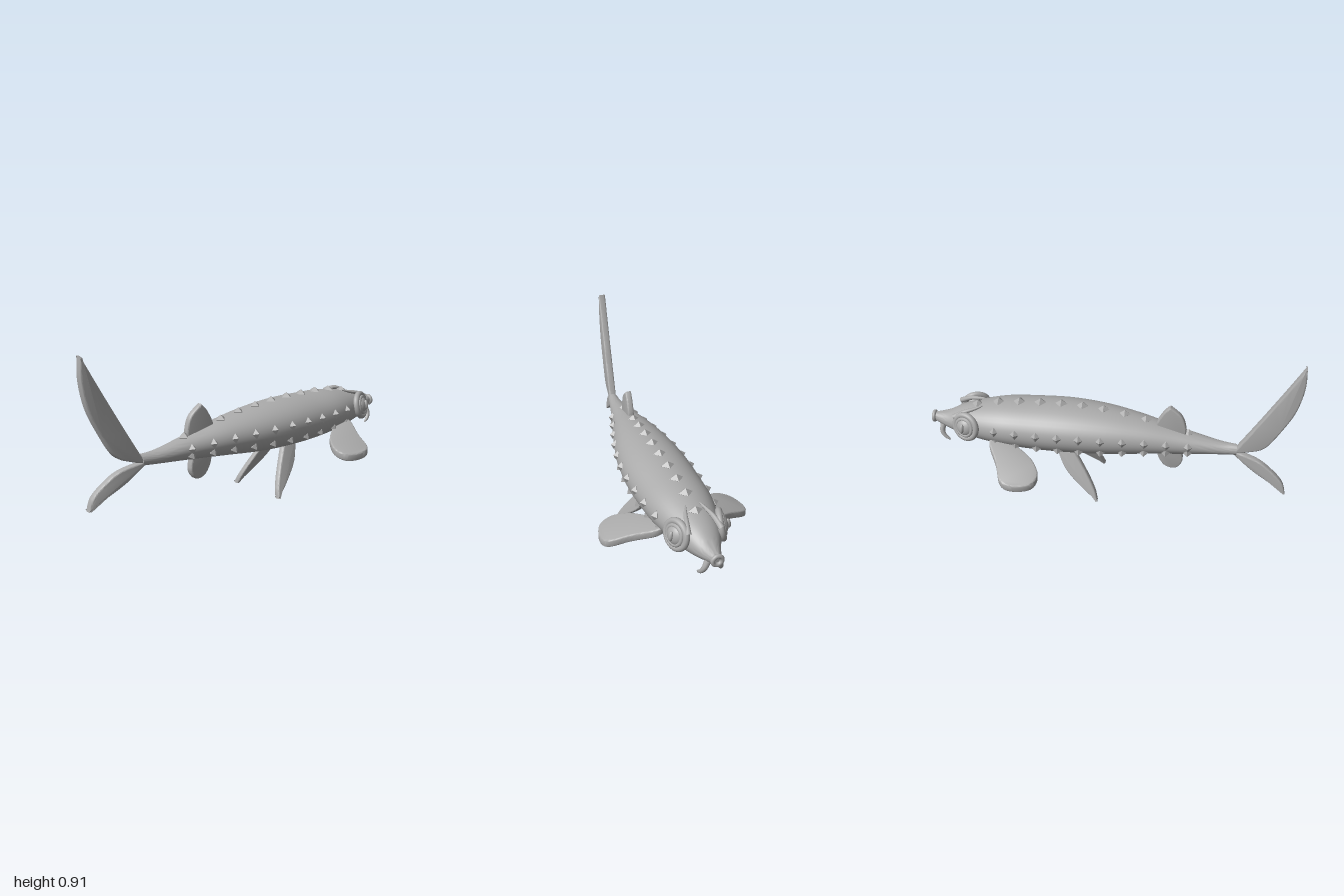
import * as THREE from 'three';
import { toCreasedNormals } from 'three/addons/utils/BufferGeometryUtils.js';

const grey = new THREE.MeshStandardMaterial({ color: 0xaaaaaa });
grey.name = 'grey skin';
const V = (x, y, z) => new THREE.Vector3(x, y, z);

// Body stations: z, centre x, half width, centre y, half height
const stations = [
  [-0.985, 0, 0.022, 0.368, 0.024], [-0.9, 0, 0.06, 0.36, 0.05],
  [-0.8, 0, 0.105, 0.37, 0.085], [-0.6, 0, 0.16, 0.38, 0.12],
  [-0.4, 0, 0.176, 0.38, 0.134], [-0.2, -0.003, 0.178, 0.382, 0.136],
  [0, -0.012, 0.16, 0.38, 0.125], [0.2, -0.027, 0.122, 0.375, 0.1],
  [0.4, -0.045, 0.078, 0.362, 0.068], [0.6, -0.06, 0.042, 0.35, 0.038],
  [0.7, -0.07, 0.028, 0.351, 0.03],
];
const widths = new THREE.CatmullRomCurve3(stations.map(s => V(s[0], s[1], s[2])), false, 'catmullrom');
const heights = new THREE.CatmullRomCurve3(stations.map(s => V(s[0], s[3], s[4])), false, 'catmullrom');

function section(t) {
  const w = widths.getPoint(t), h = heights.getPoint(t);
  return { z: w.x, cx: w.y, hw: w.z, cy: h.y, hh: h.z };
}
function sectionAt(z) {
  let a = 0, b = 1;
  for (let i = 0; i < 24; i++) {
    const m = (a + b) / 2;
    if (section(m).z < z) a = m; else b = m;
  }
  return section(a);
}

// Lofted body of elliptical rings, closed at both ends
function bodyGeometry() {
  const rings = 60, sides = 40, pos = [], index = [];
  for (let i = -1; i <= rings + 1; i++) {
    const s = section(THREE.MathUtils.clamp(i / rings, 0, 1));
    const k = i < 0 || i > rings ? 0 : 1;
    for (let j = 0; j < sides; j++) {
      const a = (j / sides) * Math.PI * 2;
      pos.push(s.cx + Math.cos(a) * s.hw * k, s.cy + Math.sin(a) * s.hh * k, s.z);
    }
  }
  for (let i = 0; i < rings + 2; i++) for (let j = 0; j < sides; j++) {
    const a = i * sides + j, b = i * sides + (j + 1) % sides;
    index.push(a, b, b + sides, a, b + sides, a + sides);
  }
  const g = new THREE.BufferGeometry();
  g.setAttribute('position', new THREE.Float32BufferAttribute(pos, 3));
  g.setIndex(index);
  return toCreasedNormals(g, 0.8);
}

// Fin: outline spline from root to root, thickened, then placed by a mapping rule
function finGeometry(outline, thickness, map, corner = -1) {
  const pts = outline.map(p => new THREE.Vector2(p[0], p[1]));
  const shape = new THREE.Shape();
  shape.moveTo(pts[0].x, pts[0].y);
  if (corner > 0) {
    shape.splineThru(pts.slice(1, corner + 1));
    shape.splineThru(pts.slice(corner + 1));
  } else shape.splineThru(pts.slice(1));
  const bevel = 0.008;
  const g = new THREE.ExtrudeGeometry(shape, {
    depth: thickness - 2 * bevel, bevelThickness: bevel, bevelSize: bevel,
    bevelOffset: -bevel, bevelSegments: 3, curveSegments: 8,
  });
  g.translate(0, 0, bevel - thickness / 2);
  const p = g.attributes.position;
  for (let i = 0; i < p.count; i++) p.setXYZ(i, ...map(p.getX(i), p.getY(i), p.getZ(i)));
  // Keep faces outward when the rule mirrors the fin
  let volume = 0;
  const a = V(), b = V(), c = V();
  for (let i = 0; i < p.count; i += 3) {
    a.fromBufferAttribute(p, i); b.fromBufferAttribute(p, i + 1); c.fromBufferAttribute(p, i + 2);
    volume += a.dot(b.clone().cross(c));
  }
  if (volume < 0) for (let i = 0; i < p.count; i += 3) {
    b.fromBufferAttribute(p, i + 1); c.fromBufferAttribute(p, i + 2);
    p.setXYZ(i + 1, c.x, c.y, c.z); p.setXYZ(i + 2, b.x, b.y, b.z);
  }
  return toCreasedNormals(g, 0.7);
}

// Curved horn tapering to a point
function hornGeometry(points, radius) {
  const curve = new THREE.CatmullRomCurve3(points), n = 12, m = 10;
  const g = new THREE.TubeGeometry(curve, n, radius, m, false);
  const p = g.attributes.position, v = V();
  for (let i = 0; i < p.count; i++) {
    const t = Math.floor(i / (m + 1)) / n, c = curve.getPointAt(t);
    v.fromBufferAttribute(p, i).sub(c).multiplyScalar(Math.sqrt(1 - t) * 0.99 + 0.01).add(c);
    p.setXYZ(i, v.x, v.y, v.z);
  }
  g.computeVertexNormals();
  return g;
}

export function createModel() {
  const model = new THREE.Group();
  model.name = 'armoured fish';
  const add = (name, geometry, parent = model) => {
    const mesh = new THREE.Mesh(geometry, grey);
    mesh.name = name;
    parent.add(mesh);
    return mesh;
  };

  add('body', bodyGeometry());
  add('mouth', new THREE.TorusGeometry(0.024, 0.011, 12, 28)).position.set(0, 0.368, -0.988);

  // Tail, back and belly fins; outlines are z, y
  add('upperTailFin', finGeometry(
    [[0.69, 0.35], [0.79, 0.53], [0.9, 0.735], [0.995, 0.918], [1, 0.8], [0.975, 0.66], [0.92, 0.53], [0.845, 0.4], [0.76, 0.355], [0.69, 0.335]],
    0.042, (z, y, t) => [-0.07 - 0.13 * (z - 0.7) + t, y, z], 3));
  add('lowerTailFin', finGeometry(
    [[0.68, 0.345], [0.81, 0.315], [0.89, 0.265], [0.955, 0.2], [0.978, 0.13], [0.89, 0.185], [0.78, 0.25], [0.68, 0.33]],
    0.04, (z, y, t) => [-0.07 - 0.235 * (z - 0.7) + t, y, z], 4));
  add('dorsalFin', finGeometry(
    [[0.42, 0.4], [0.425, 0.45], [0.4, 0.525], [0.335, 0.58], [0.3, 0.54], [0.262, 0.46], [0.27, 0.4]],
    0.036, (z, y, t) => [-0.042 - 0.1 * (z - 0.33) + t, y, z], 3));
  add('analFin', finGeometry(
    [[0.4, 0.32], [0.415, 0.24], [0.392, 0.19], [0.36, 0.178], [0.315, 0.195], [0.28, 0.25], [0.27, 0.32]],
    0.04, (z, y, t) => [-0.042 + t, y, z]));

  for (const side of [1, -1]) {
    const label = side > 0 ? 'left' : 'right';
    // Broad side fins; outline is x, z
    add(label + 'PectoralFin', finGeometry(
      [[0.12, -0.64], [0.17, -0.635], [0.27, -0.58], [0.375, -0.535], [0.396, -0.46], [0.365, -0.37], [0.295, -0.347], [0.215, -0.395], [0.155, -0.48], [0.12, -0.54]],
      0.042, (x, z, t) => [side * x, 0.305 - 0.33 * (x - 0.17) - 0.1 * (z + 0.6) + t, z]));
    // Narrow fins under the belly; outline is z, y
    add(label + 'PelvicFin', finGeometry(
      [[-0.18, 0.27], [-0.1, 0.145], [-0.055, 0.06], [-0.04, 0.006], [-0.14, 0.085], [-0.225, 0.17], [-0.275, 0.27]],
      0.036, (z, y, t) => [-0.015 + side * (0.173 - 0.4 * y + t), y, z], 3));

    // Eye with rings, dome and upright pupil
    const eye = new THREE.Group();
    eye.name = label + 'Eye';
    eye.position.set(side * 0.115, 0.395, -0.777);
    eye.lookAt(eye.position.clone().add(V(side * 0.92, 0.2, -0.34)));
    model.add(eye);
    add('eyeRim', new THREE.TorusGeometry(0.067, 0.017, 12, 40), eye);
    add('eyelid', new THREE.TorusGeometry(0.048, 0.011, 10, 36), eye).position.z = 0.012;
    add('eyeball', new THREE.SphereGeometry(0.052, 28, 18), eye).scale.z = 0.7;
    const pupil = add('pupil', new THREE.SphereGeometry(1, 18, 12), eye);
    pupil.scale.set(0.012, 0.027, 0.012);
    pupil.position.z = 0.036;

    // Brow spike and hanging barbel
    add(label + 'Brow', hornGeometry(
      [V(side * 0.085, 0.43, -0.85), V(side * 0.07, 0.46, -0.79), V(side * 0.055, 0.473, -0.74), V(side * 0.035, 0.488, -0.69)], 0.016));
    add(label + 'Barbel', hornGeometry(
      [V(side * 0.022, 0.335, -0.935), V(side * 0.04, 0.3, -0.94), V(side * 0.05, 0.272, -0.925), V(side * 0.056, 0.25, -0.892)], 0.018));
  }

  // Diamond armour plates: one row on the back, two on each flank
  const scute = toCreasedNormals(new THREE.OctahedronGeometry(1), 0.1);
  const addScute = (z, angle, across, along, height) => {
    const s = sectionAt(z), c = Math.cos(angle), n = Math.sin(angle);
    const mesh = add('scute', scute);
    const normal = V(c / s.hw, n / s.hh, 0).normalize();
    mesh.position.set(s.cx + c * s.hw, s.cy + n * s.hh, z);
    mesh.quaternion.setFromRotationMatrix(
      new THREE.Matrix4().makeBasis(V(normal.y, -normal.x, 0), normal, V(0, 0, 1)));
    mesh.scale.set(across, height, along);
  };
  for (let i = 0; i < 10; i++) {
    const z = -0.61 + i * 0.1165;
    if (i !== 8) addScute(z, Math.PI / 2, 0.038 - i * 0.001, 0.033, 0.024);
    for (const tilt of [0.18, -0.48]) {
      const size = tilt > 0 ? 0.028 : 0.025;
      addScute(z, tilt, size, 0.025, 0.024);
      addScute(z, Math.PI - tilt, size, 0.025, 0.024);
    }
  }
  addScute(-0.73, Math.PI / 2, 0.038, 0.033, 0.024);
  return model;
}
